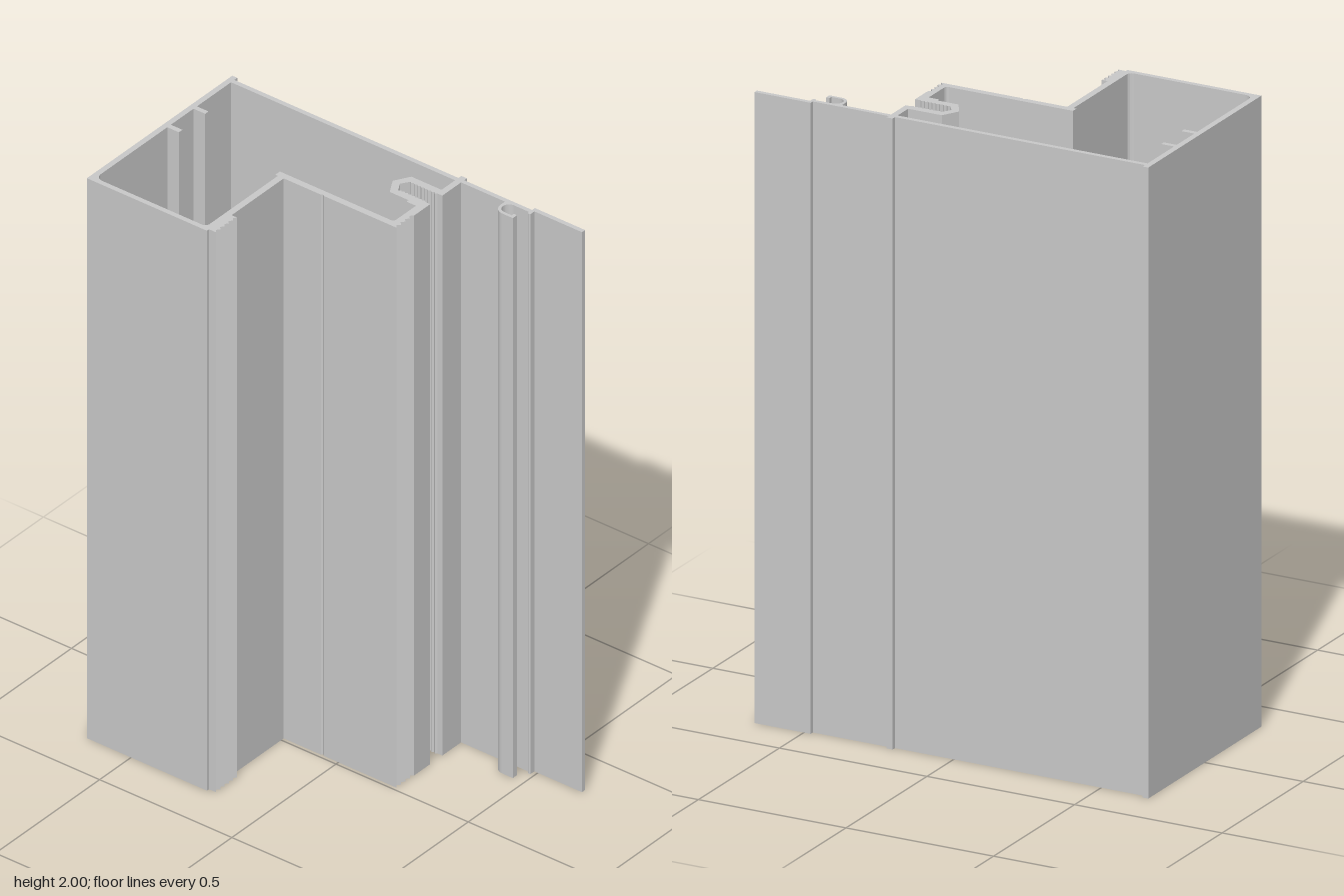
import * as THREE from 'three';

const HEIGHT = 2;

// Points are plan coordinates [x, z]; the section is swept upward along y.
const toVectors = (pts) => pts.map(([x, z]) => new THREE.Vector2(x, -z));

// The hole is wound against the outline so that its walls face inward.
function sweep(name, material, outline, hole) {
  const shape = new THREE.Shape(toVectors(outline));
  if (hole) shape.holes.push(new THREE.Path(toVectors(hole).reverse()));
  const geometry = new THREE.ExtrudeGeometry(shape, { depth: HEIGHT, bevelEnabled: false });
  geometry.rotateX(-Math.PI / 2);
  const mesh = new THREE.Mesh(geometry, material);
  mesh.name = name;
  return mesh;
}

// Arc in plan, angles in degrees, 90 points toward -z
function arc(cx, cz, r, from, to, steps) {
  return Array.from({ length: steps + 1 }, (_, i) => {
    const a = THREE.MathUtils.degToRad(from + ((to - from) * i) / steps);
    return [cx + r * Math.cos(a), cz - r * Math.sin(a)];
  });
}

// Saw-tooth run from a to b; the valleys are shifted by (dx, dz)
function teeth(a, b, count, dx, dz) {
  const pts = [];
  for (let i = 0; i <= count * 2; i++) {
    const t = i / (count * 2);
    const valley = i % 2;
    pts.push([a[0] + (b[0] - a[0]) * t + dx * valley, a[1] + (b[1] - a[1]) * t + dz * valley]);
  }
  return pts;
}

export function createModel() {
  const aluminium = new THREE.MeshStandardMaterial({ color: 0xc9c9c9 });
  aluminium.name = 'aluminium grey';

  // Outside of the hollow frame, with lips, gasket groove and serrated pads
  const outside = [
    [-0.349, -0.667], [0.349, -0.667], [0.349, -0.648], [0.335, -0.648],
    [0.335, 0.199], [0.349, 0.199], [0.349, 0.22],
    [0.231, 0.22],
    ...teeth([0.231, 0.202], [0.231, 0.1], 8, -0.005, 0),
    [0.202, 0.081],
    ...teeth([0.173, 0.1], [0.173, 0.202], 8, 0.005, 0),
    [0.173, 0.22],
    ...teeth([0.096, 0.22], [0.012, 0.22], 4, 0, -0.01),
    [0.012, -0.055], [0.016, -0.061], [0.012, -0.067],
    [0.012, -0.207], [-0.238, -0.207],
    ...teeth([-0.238, -0.186], [-0.339, -0.186], 5, 0, -0.009),
    [-0.339, -0.213], [-0.349, -0.213],
  ];

  // Inside of the hollow, with two ribs on the back wall
  const inside = [
    ...arc(-0.307, -0.623, 0.025, 180, 90, 6),
    [0.013, -0.648], [0.013, -0.604], [0.03, -0.604], [0.03, -0.648],
    [0.139, -0.648], [0.139, -0.604], [0.155, -0.604], [0.155, -0.648],
    [0.319, -0.648], [0.319, 0.199],
    [0.254, 0.199], [0.254, 0.085], [0.202, 0.055], [0.15, 0.085],
    [0.15, 0.156], [0.14, 0.156], [0.14, 0.192],
    ...arc(0.044, 0.182, 0.01, 270, 180, 3),
    [0.034, -0.239], [0.012, -0.239], [0.012, -0.229],
    ...arc(-0.317, -0.244, 0.015, 270, 180, 4),
  ];

  // Front flange with a curled clip and a small stop nub
  const flange = [
    [0.321, 0.22], [0.336, 0.22], [0.336, 0.477], [0.349, 0.477],
    [0.349, 0.667], [0.334, 0.667], [0.334, 0.487], [0.316, 0.487],
    [0.313, 0.482], [0.316, 0.477], [0.322, 0.475],
    ...arc(0.299, 0.419, 0.023, 0, 180, 14),
    [0.276, 0.447], [0.286, 0.447], [0.286, 0.459], [0.266, 0.459],
    ...arc(0.299, 0.419, 0.033, 180, 90, 8),
    [0.321, 0.386],
  ];

  const model = new THREE.Group();
  model.name = 'extrudedFrameProfile';
  model.add(sweep('hollowFrame', aluminium, outside, inside));
  model.add(sweep('clipFlange', aluminium, flange));
  return model;
}
